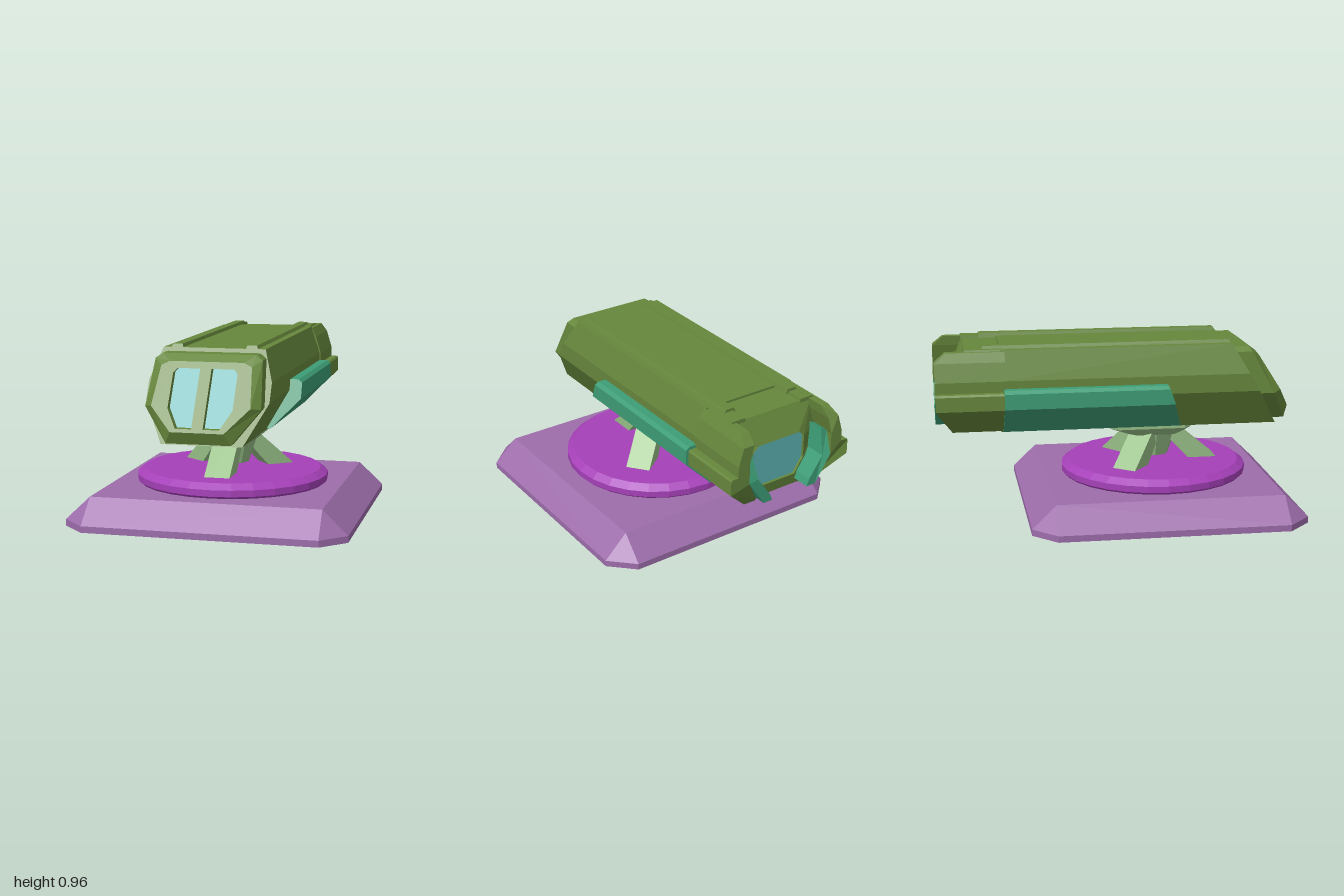
import * as THREE from 'three';
import { ConvexGeometry } from 'three/addons/geometries/ConvexGeometry.js';

const mat = (color, side = THREE.FrontSide) =>
  new THREE.MeshStandardMaterial({ color, flatShading: true, side });

// Left half of an outline, top to bottom, completed by mirroring in x
const mirrored = (half) => [...half, ...half.map(([x, ...rest]) => [-x, ...rest]).reverse()];

// Outline in x/y, extruded in z between two end surfaces given as functions of y
function prism(points, back, front) {
  const shape = new THREE.Shape(points.map(([x, y]) => new THREE.Vector2(x, y)));
  const geo = new THREE.ExtrudeGeometry(shape, { depth: 1, bevelEnabled: false });
  const pos = geo.attributes.position;
  for (let i = 0; i < pos.count; i++) {
    const y = pos.getY(i);
    pos.setZ(i, pos.getZ(i) < 0.5 ? back(y) : front(y));
  }
  geo.computeVertexNormals();
  return geo;
}

// Skin over closed rings, ordered from back to front
function loft(rings) {
  const n = rings[0].length;
  const index = [];
  for (let i = 0; i < rings.length - 1; i++) {
    for (let j = 0; j < n; j++) {
      const k = (j + 1) % n;
      const a = i * n + j, b = i * n + k, c = b + n, d = a + n;
      index.push(a, d, c, a, c, b);
    }
  }
  const geo = new THREE.BufferGeometry();
  geo.setAttribute('position', new THREE.Float32BufferAttribute(rings.flat(2), 3));
  geo.setIndex(index);
  const flat = geo.toNonIndexed();
  flat.computeVertexNormals();
  return flat;
}

// Half outline placed on a surface z(y), as a full ring
const ring = (half, z) => mirrored(half).map(([x, y]) => [x, y, z(y)]);

export function createModel() {
  const model = new THREE.Group();
  const olive = mat(0x66873c);
  const oliveOpen = mat(0x66873c, THREE.DoubleSide);
  const teal = mat(0x3d9d76);
  const glass = mat(0x5cb0b0, THREE.DoubleSide);
  const violet = mat(0x9d6dab);
  const purple = mat(0xa540b8);
  const paleGreen = mat(0x98c088);

  const add = (name, geo, material, parent = model) => {
    const mesh = new THREE.Mesh(geo, material);
    mesh.name = name;
    parent.add(mesh);
    return mesh;
  };
  const at = (z) => () => z;

  // Base plate: cut corners below, plain rectangle on top
  const basePoints = [];
  for (const sx of [-1, 1]) {
    for (const sz of [-1, 1]) {
      const p = (x, y, z) => basePoints.push(new THREE.Vector3(sx * x, y, 0.2425 + sz * z));
      for (const y of [0, 0.035]) {
        p(0.755, y, 0.63);
        p(0.625, y, 0.7575);
      }
      p(0.62, 0.163, 0.625);
    }
  }
  add('basePlate', new ConvexGeometry(basePoints), violet);

  // Turntable
  const discProfile = [[0, 0.16], [0.515, 0.16], [0.53, 0.175], [0.53, 0.21], [0.49, 0.24], [0, 0.24]];
  add('turntable', new THREE.LatheGeometry(discProfile.map((p) => new THREE.Vector2(...p)), 28), purple)
    .position.z = 0.245;

  // Three-legged pedestal with neck and collar
  const pedestal = new THREE.Group();
  pedestal.name = 'pedestal';
  pedestal.position.z = 0.245;
  model.add(pedestal);
  const legProfile = [[0, 0.43], [0.13, 0.43], [0.365, 0.235], [0.2, 0.235], [0.09, 0.35], [0, 0.35]];
  const legShape = new THREE.Shape(legProfile.map((p) => new THREE.Vector2(...p)));
  const legGeo = new THREE.ExtrudeGeometry(legShape, { depth: 0.14, bevelEnabled: false });
  legGeo.translate(0, 0, -0.07);
  for (const degrees of [0, 128, -128]) {
    const leg = add('pedestalLeg', legGeo, paleGreen, pedestal);
    leg.rotation.y = -Math.PI / 2 + THREE.MathUtils.degToRad(degrees);
    if (degrees) leg.scale.x = 0.95;
  }
  add('pedestalHub', new THREE.CylinderGeometry(0.14, 0.09, 0.15, 8), paleGreen, pedestal).position.y = 0.34;
  const neckPoints = [];
  for (const [x, y, z0, z1] of [[0.14, 0.40, -0.155, 0.135], [0.145, 0.43, -0.16, 0.145], [0.2, 0.45, -0.27, 0.19], [0.2, 0.48, -0.28, 0.19]]) {
    for (const s of [-1, 1]) {
      neckPoints.push(
        new THREE.Vector3(s * x, y, z0 + 0.04), new THREE.Vector3(s * (x - 0.04), y, z0),
        new THREE.Vector3(s * x, y, z1 - 0.04), new THREE.Vector3(s * (x - 0.04), y, z1));
    }
  }
  add('pedestalCollar', new ConvexGeometry(neckPoints), paleGreen, pedestal);

  // Main housing with a raked front
  const rake = (y) => 0.64 + (0.94 - y) * 0.575;
  const hull = mirrored([[0.275, 0.94], [0.328, 0.78], [0.328, 0.68], [0.215, 0.47]]);
  add('mainHousing', prism(hull, at(-0.64), rake), olive);

  // Front cap: stepped collar, bevelled face and window opening
  const capOuter = [[0.25, 0.92], [0.285, 0.895], [0.305, 0.66], [0.17, 0.487]];
  const capFace = [[0.195, 0.885], [0.24, 0.865], [0.26, 0.67], [0.14, 0.55]];
  const opening = [[0.15, 0.852], [0.17, 0.83], [0.17, 0.66], [0.115, 0.567]];
  const capRake = (y) => 0.74 + (0.92 - y) * 0.535;
  const faceRake = (y) => 0.79 + (0.885 - y) * 0.627;
  const paneRake = (y) => faceRake(y) - 0.04;
  add('frontCap', loft([
    ring(capOuter, (y) => rake(y) - 0.05), ring(capOuter, capRake), ring(capFace, faceRake),
    ring(opening, faceRake), ring(opening, (y) => faceRake(y) - 0.06),
  ]), oliveOpen);
  add('frontWindow', prism(mirrored(opening), (y) => paneRake(y) - 0.02, paneRake), glass);
  add('frontWindowBar', prism(mirrored([[0.03, 0.86], [0.03, 0.56]]), paneRake, faceRake), olive);

  // Rear deck and recessed rear window frame
  const deck = [[0.26, 0.928], [0.28, 0.78], [0.28, 0.66], [0.2, 0.48]];
  const rearFrame = [[0.13, 0.79], [0.165, 0.76], [0.165, 0.63], [0.11, 0.545]];
  const rearSlope = (y) => -0.83 - (0.928 - y) * 0.13;
  add('rearDeck', loft([
    ring(rearFrame, at(-0.86)), ring(rearFrame, at(-0.9)), ring(deck, rearSlope), ring(deck, at(-0.6)),
  ]), oliveOpen);
  add('rearWindow', prism(mirrored(rearFrame), at(-0.885), at(-0.87)), glass);

  // Rear ends of the side walls: top and bottom corners cut back
  const wallEnd = (y) => (y > 0.89 ? -0.94 : y < 0.6 ? -0.91 - (y - 0.48) * 0.6 : -1);
  const wall = [
    [0.235, 0.932], [0.28, 0.932], [0.305, 0.88], [0.335, 0.78], [0.335, 0.72], [0.372, 0.72],
    [0.38, 0.71], [0.38, 0.63], [0.225, 0.478], [0.15, 0.478], [0.17, 0.53], [0.265, 0.66],
    [0.265, 0.78], [0.24, 0.88],
  ];
  // Side armour panels with a slanted front edge
  const panel = [[0.3, 0.737], [0.375, 0.737], [0.395, 0.72], [0.395, 0.635], [0.24, 0.476], [0.2, 0.476]];
  const panelFront = (y) => 0.265 + (0.737 - y) * 0.36;
  // Low roof rails and their shorter rear steps
  const rail = [[0.165, 0.93], [0.175, 0.957], [0.225, 0.957], [0.24, 0.93]];
  const railStep = [[0.175, 0.92], [0.18, 0.942], [0.26, 0.942], [0.27, 0.92]];
  // Rear clamps beside the window
  const clamp = [
    [0.225, 0.81], [0.265, 0.79], [0.265, 0.66], [0.17, 0.515], [0.115, 0.515], [0.13, 0.555], [0.21, 0.67],
  ];
  const clampEnd = (y) => (y > 0.75 ? -0.96 : -1);

  for (const side of [1, -1]) {
    const flip = (points) => points.map(([x, y]) => [side * x, y]);
    const name = side > 0 ? 'left' : 'right';
    add(name + 'RearWall', prism(flip(wall), wallEnd, at(-0.62)), olive);
    add(name + 'ArmourPanel', prism(flip(panel), at(-0.63), panelFront), teal);
    add(name + 'RoofRail', prism(flip(rail), at(-0.74), rake), olive);
    add(name + 'RailStep', prism(flip(railStep), at(-0.84), at(-0.62)), olive);
    add(name + 'RearClamp', prism(flip(clamp), clampEnd, at(-0.87)), teal);
  }
  return model;
}
